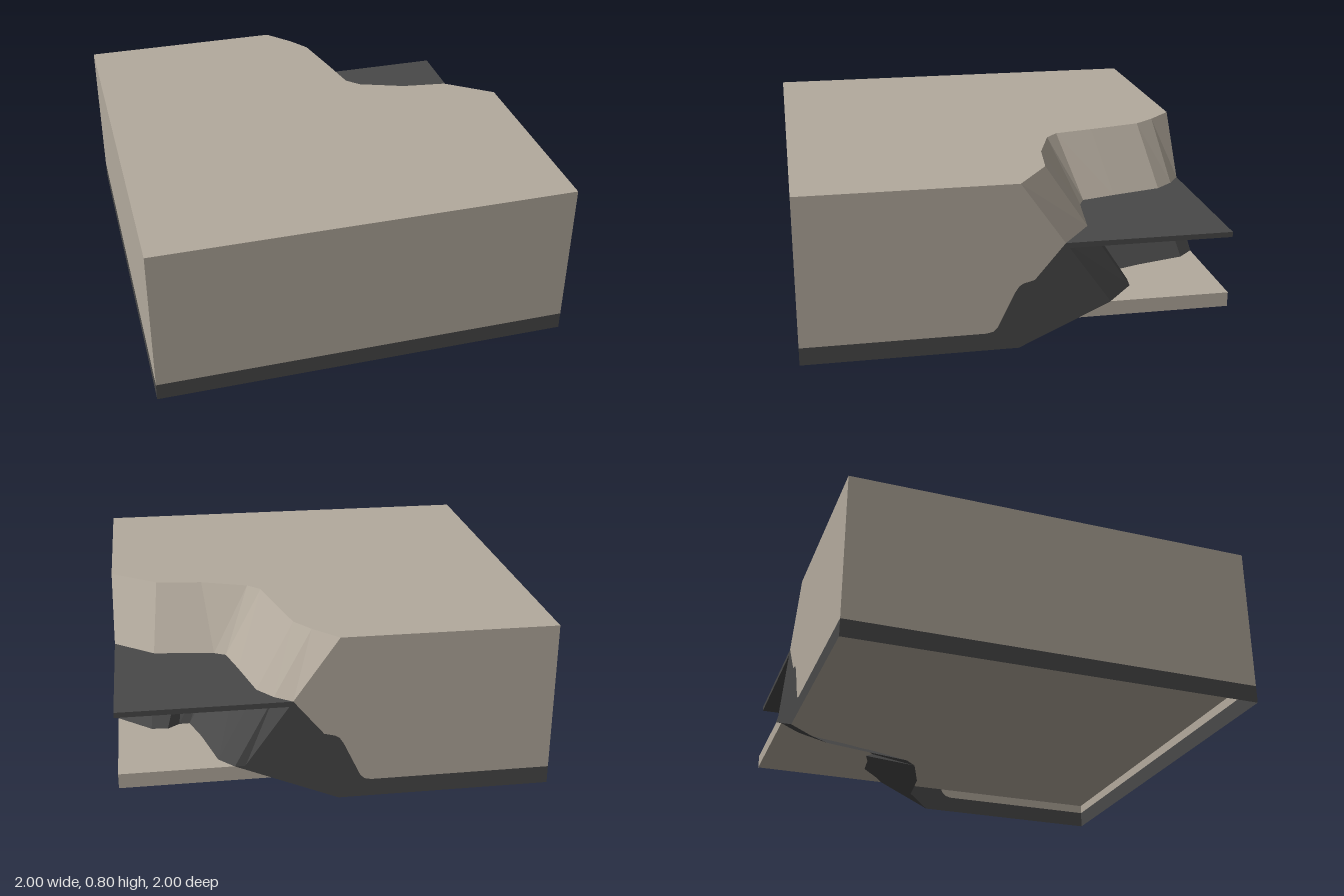
import * as THREE from 'three';

export function createModel() {
  const group = new THREE.Group();
  const stone = new THREE.MeshStandardMaterial({ color: 0xb3aa9d, flatShading: true, side: THREE.DoubleSide });
  stone.name = 'pale stone';
  const dark = new THREE.MeshStandardMaterial({ color: 0x484848, flatShading: true, side: THREE.DoubleSide });
  dark.name = 'dark rock';

  const add = (name, geometry, material, x = 0, y = 0, z = 0, ry = 0) => {
    const mesh = new THREE.Mesh(geometry, material);
    mesh.name = name;
    mesh.position.set(x, y, z);
    mesh.rotation.y = ry;
    group.add(mesh);
    return mesh;
  };
  const flat = (points) => new THREE.ShapeGeometry(new THREE.Shape(points.map(([x, y]) => new THREE.Vector2(x, y))));

  // Cliff edge in plan (x, z): at the top, and where the upper ledge meets it
  const edge = [[0, -1], [0.11, -0.88], [0.18, -0.78], [0.24, -0.52], [0.28, -0.33], [0.34, -0.27], [0.56, -0.19], [0.78, -0.16], [1, 0]];
  const waist = [[0.21, -1], [0.29, -0.94], [0.36, -0.85], [0.42, -0.6], [0.465, -0.43], [0.52, -0.4], [0.66, -0.38], [0.81, -0.36], [1, -0.21]];
  // The overhang keeps the same slope down to the lower ledge
  const lip = edge.map(([x, z], i) => [
    Math.min(1, x + 2.04 * (waist[i][0] - x)),
    Math.max(-1, z + 2.04 * (waist[i][1] - z)),
  ]);
  const row = (plan, y) => plan.map(([x, z]) => [x, y, z]);

  // Surface between cross-sections listed from top to bottom
  const ribbon = (rows) => {
    const n = rows[0].length, index = [];
    for (let r = 0; r < rows.length - 1; r++) {
      for (let i = 0; i < n - 1; i++) {
        const a = r * n + i, b = a + 1, c = a + n, d = c + 1;
        index.push(a, b, c, b, d, c);
      }
    }
    const geometry = new THREE.BufferGeometry();
    geometry.setAttribute('position', new THREE.Float32BufferAttribute(rows.flat(2), 3));
    geometry.setIndex(index);
    geometry.computeVertexNormals();
    return geometry;
  };
  add('upperCliff', ribbon([row(edge, 0.8), row(waist, 0.505)]), stone);
  add('lowerCliff', ribbon([row(waist, 0.505), row(lip, 0.2), row(edge, 0)]), dark);

  // Top surface
  const top = flat([...edge.map(([x, z]) => [x, -z]), [1, -1], [-1, -1], [-1, 1]]);
  top.rotateX(-Math.PI / 2);
  add('topSurface', top, stone, 0, 0.8, 0);

  // Full walls with a dark skirt
  const skirt = 0.085;
  for (const [name, x, z, ry] of [['front', 0, 1, 0], ['right', -1, 0, -Math.PI / 2]]) {
    add(name + 'Wall', new THREE.PlaneGeometry(2, 0.8 - skirt), stone, x, (0.8 + skirt) / 2, z, ry);
    add(name + 'Skirt', new THREE.PlaneGeometry(2, skirt), dark, x, skirt / 2, z, ry);
  }

  // Cut walls, with the dark rock climbing up to the upper ledge
  const climb = [[-1, skirt], [-0.15, skirt], [-0.12, 0.092], [-0.1, 0.11], [-0.02, 0.28], [0, 0.31], [0.02, 0.322], [0.07, 0.335], [0.21, 0.505]];
  for (const [name, m, x, z, ry] of [['left', 1, 1, 0, Math.PI / 2], ['back', -1, 0, -1, Math.PI]]) {
    const mirror = (points) => flat(points.map(([s, y]) => [m * s, y]));
    add(name + 'Wall', mirror([...climb, [0, 0.8], [-1, 0.8]]), stone, x, 0, z, ry);
    add(name + 'Rock', mirror([...climb, [0.43, 0.2], [0, 0], [-1, 0]]), dark, x, 0, z, ry);
  }

  // Ledges in the cut corner; the lower one also closes the hollow base
  add('upperLedge', new THREE.BoxGeometry(0.79, 0.025, 0.79), dark, 0.605, 0.4925, -0.605);
  add('lowerLedge', new THREE.BoxGeometry(1.997, 0.07, 1.997), stone, 0, 0.165, 0);

  return group;
}
